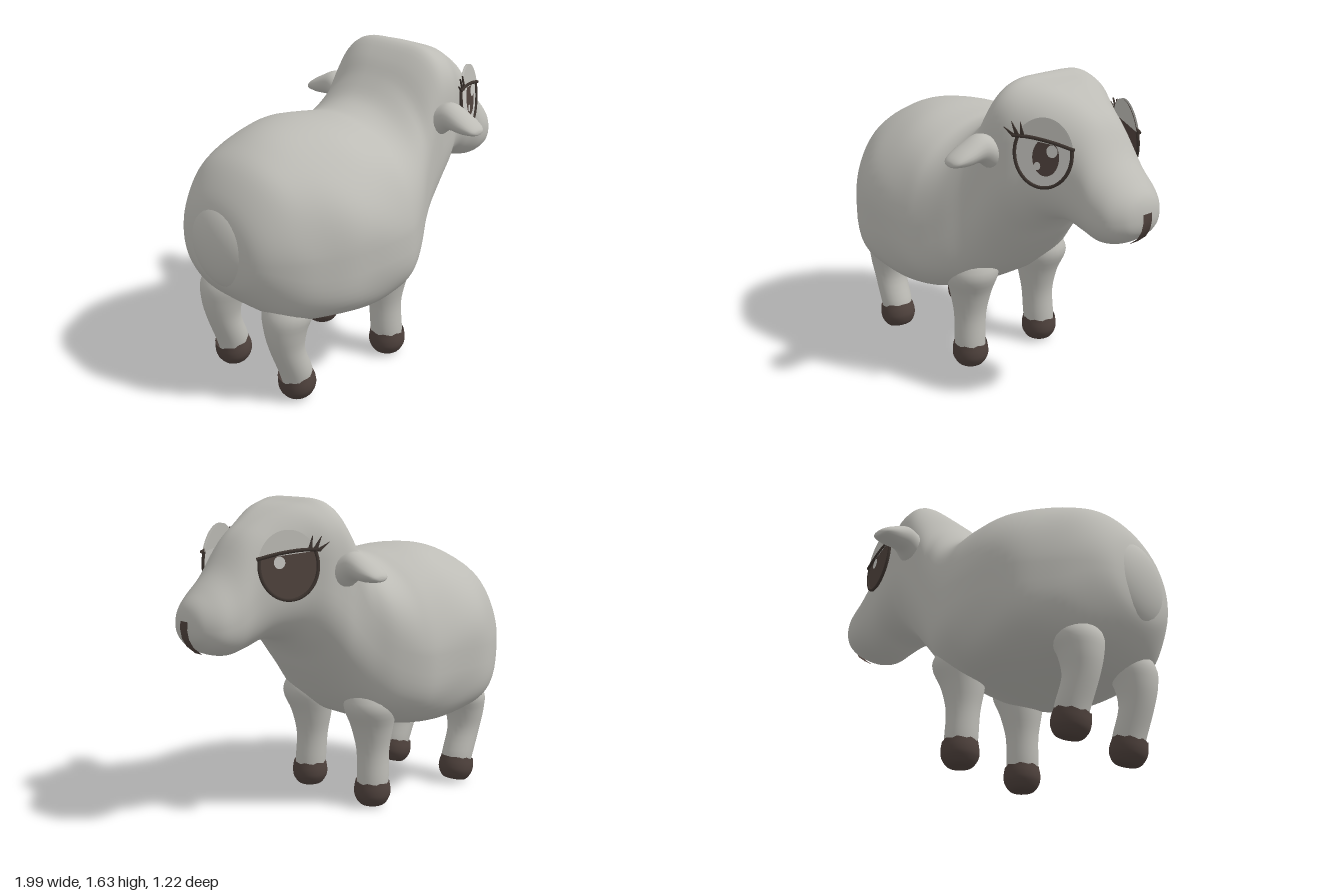
import * as THREE from 'three';

const mat = (name, color, side = THREE.DoubleSide) => {
  const m = new THREE.MeshStandardMaterial({ color, side });
  m.name = name;
  return m;
};

// Smooth grid surface: f(u, angle) gives a point; u runs 0..1, the angle wraps around.
function tubeSurface(nu, nv, f) {
  const pos = [], idx = [];
  for (let i = 0; i <= nu; i++) {
    for (let j = 0; j < nv; j++) pos.push(...f(i / nu, (j / nv) * Math.PI * 2));
  }
  for (let i = 0; i < nu; i++) {
    for (let j = 0; j < nv; j++) {
      const k = (j + 1) % nv;
      const a = i * nv + j, b = a + nv, c = (i + 1) * nv + k, d = i * nv + k;
      idx.push(a, b, c, a, c, d);
    }
  }
  const g = new THREE.BufferGeometry();
  g.setAttribute('position', new THREE.Float32BufferAttribute(pos, 3));
  g.setIndex(idx);
  g.computeVertexNormals();
  return g;
}

const spline = (pts) => new THREE.CatmullRomCurve3(pts.map((p) => new THREE.Vector3(...p)), false, 'catmullrom', 0.5);
const spow = (v, e) => Math.sign(v) * Math.pow(Math.abs(v), e);
const { smoothstep } = THREE.MathUtils;

// Body, neck and head in one skin: x, top, bottom, half width
const STATIONS = [
  [-0.97, 0.84, 0.84, 0], [-0.955, 0.98, 0.69, 0.19], [-0.915, 1.1, 0.6, 0.3],
  [-0.82, 1.23, 0.5, 0.4], [-0.7, 1.3, 0.44, 0.48], [-0.55, 1.345, 0.42, 0.55],
  [-0.38, 1.365, 0.41, 0.57], [-0.2, 1.345, 0.415, 0.56], [-0.1, 1.332, 0.43, 0.535],
  [0.02, 1.37, 0.48, 0.475], [0.12, 1.465, 0.56, 0.415], [0.2, 1.56, 0.64, 0.385],
  [0.29, 1.632, 0.74, 0.375], [0.38, 1.615, 0.85, 0.355], [0.48, 1.585, 0.925, 0.3],
  [0.6, 1.525, 0.94, 0.25], [0.7, 1.45, 0.905, 0.215], [0.8, 1.31, 0.885, 0.208],
  [0.89, 1.22, 0.905, 0.185], [0.95, 1.16, 0.95, 0.13], [0.975, 1.11, 0.99, 0.075],
  [0.985, 1.05, 1.05, 0],
];

function bodyGeometry() {
  const heights = spline(STATIONS.map(([x, t, b]) => [x, t, b]));
  const widths = spline(STATIONS.map(([x, , , w]) => [x, w, 0]));
  return tubeSurface(90, 72, (u, a) => {
    const { x, y: top, z: bottom } = heights.getPoint(u);
    const w = Math.max(0, widths.getPoint(u).y);
    const mid = bottom + (top - bottom) * 0.45;
    const boxy = smoothstep(x, -0.1, 0.3) * (1 - smoothstep(x, 0.5, 0.85));
    const crest = smoothstep(x, 0.12, 0.28) * (1 - smoothstep(x, 0.36, 0.6));
    const belly = smoothstep(x, -0.95, -0.75) * (1 - smoothstep(x, 0, 0.35));
    const s = Math.sin(a), c = Math.cos(a);
    const e = 2 / (s > 0 ? 2 + boxy + 2 * crest : 2.4 + belly);
    const taper = s > 0 ? 1 - 0.2 * boxy * s * s : 1;
    // soft woolly lumps on the trunk only
    const trunk = smoothstep(x, -0.95, -0.75) * (1 - smoothstep(x, -0.1, 0.2));
    const wool = 1 + 0.013 * trunk * Math.sin(11 * x + 2 * s) * Math.sin(5 * a);
    return [x, mid + spow(s, e) * (s > 0 ? top - mid : mid - bottom) * wool, spow(c, e) * w * wool * taper];
  });
}

// Leg parts from rings: x, y, z, radius
function limb(rings, side, ragged = 0) {
  const centre = spline(rings.map(([x, y, z]) => [x, y, z * side]));
  const radius = spline(rings.map(([, , , r]) => [r, 0, 0]));
  return tubeSurface(20, 24, (u, a) => {
    const p = centre.getPoint(u), r = Math.max(0, radius.getPoint(u).x);
    const jag = u === 1 ? ragged * Math.sin(a * 8) : 0;
    return [p.x + r * Math.cos(a), p.y + jag, p.z + r * Math.sin(a)];
  });
}

function earGeometry() {
  // z, centre height, half height, half depth
  const rows = [[0.31, 1.26, 0.09, 0.085], [0.37, 1.29, 0.085, 0.08], [0.43, 1.316, 0.07, 0.074],
    [0.52, 1.295, 0.05, 0.074], [0.58, 1.28, 0.03, 0.06], [0.605, 1.272, 0.015, 0.035], [0.61, 1.27, 0, 0]];
  const centre = spline(rows.map(([z, y]) => [0, y, z]));
  const size = spline(rows.map(([, , h, d]) => [d, h, 0]));
  return tubeSurface(24, 20, (u, a) => {
    const p = centre.getPoint(u), s = size.getPoint(u);
    return [Math.max(0, s.x) * Math.cos(a), p.y - Math.max(0, s.y) * Math.sin(a), p.z];
  });
}

export function createModel() {
  const model = new THREE.Group();
  model.name = 'sheep';
  const wool = mat('wool grey', 0xbdbcb6);
  const hoofMat = mat('hoof brown', 0x4f423d);
  const eyeWhite = mat('eye white', 0xc6c5c0);
  const dark = mat('lash dark', 0x3d342f);

  const add = (parent, name, geometry, material, x = 0, y = 0, z = 0) => {
    const m = new THREE.Mesh(geometry, material);
    m.name = name;
    m.position.set(x, y, z);
    parent.add(m);
    return m;
  };

  add(model, 'body', bodyGeometry(), wool);
  add(model, 'tail', new THREE.SphereGeometry(1, 32, 24), wool, -0.87, 0.835, 0).scale.set(0.13, 0.235, 0.24);

  // Legs and hooves; the upper rings shrink away inside the trunk
  const frontLeg = [[-0.01, 0.09, 0.255, 0.08], [-0.015, 0.16, 0.253, 0.085], [-0.02, 0.3, 0.247, 0.087],
    [-0.015, 0.43, 0.245, 0.112], [0.005, 0.55, 0.25, 0.14], [0.01, 0.66, 0.24, 0.1]];
  const backLeg = [[-0.67, 0.09, 0.25, 0.075], [-0.68, 0.16, 0.25, 0.087], [-0.73, 0.3, 0.247, 0.09],
    [-0.735, 0.41, 0.245, 0.11], [-0.71, 0.51, 0.24, 0.13], [-0.68, 0.62, 0.22, 0.09]];
  const hoof = [[0, 0.006, 0, 0], [0, 0.01, 0, 0.06], [0, 0.05, 0, 0.091], [0, 0.09, 0, 0.097], [0, 0.137, 0, 0.09]];
  for (const side of [1, -1]) {
    const tag = side > 0 ? 'Near' : 'Far';
    add(model, 'frontLeg' + tag, limb(frontLeg, side), wool);
    add(model, 'backLeg' + tag, limb(backLeg, side), wool);
    add(model, 'frontHoof' + tag, limb(hoof, 1, 0.005), hoofMat, -0.01, 0, 0.255 * side);
    add(model, 'backHoof' + tag, limb(hoof, 1, 0.005), hoofMat, -0.65, 0.008, 0.25 * side).rotation.z = 0.24;
  }

  // Ears
  for (const turn of [0, Math.PI]) {
    add(model, turn ? 'earFar' : 'earNear', earGeometry(), wool, 0.27, 0, 0).rotation.y = turn;
  }

  // Eyes: flat plates standing on the cheeks, mirrored across the head
  const ellipse = (rx, ry, from = 0, to = Math.PI * 2) =>
    new THREE.ShapeGeometry(new THREE.Shape().absellipse(0, 0, rx, ry, from, to, false, 0), 32);
  const line = (pts, r) => new THREE.TubeGeometry(spline(pts), 36, r, 6);
  for (const side of [1, -1]) {
    const mirror = new THREE.Group();
    mirror.name = side > 0 ? 'eyeNear' : 'eyeFar';
    mirror.scale.z = side;
    const eye = new THREE.Group();
    eye.position.set(0.575, 1.33, 0.286);
    eye.rotation.set(-0.1, 0.42, 0, 'YXZ');
    mirror.add(eye);
    model.add(mirror);

    add(eye, 'sclera', ellipse(0.148, 0.168), side > 0 ? eyeWhite : hoofMat);
    add(eye, 'iris', ellipse(0.068, 0.09), hoofMat, 0.015, -0.018, 0.004);
    add(eye, 'highlight', ellipse(0.028, 0.03), eyeWhite, 0.047, 0.015, 0.008);
    if (side > 0) add(eye, 'smallHighlight', ellipse(0.017, 0.02), eyeWhite, -0.025, -0.062, 0.008);
    const lid = [0.22, Math.PI - 0.4];
    add(eye, 'upperLid', ellipse(0.15, 0.17, ...lid), wool, 0, 0, 0.009);
    add(eye, 'upperLidBack', ellipse(0.15, 0.17, ...lid), wool, 0, 0, -0.004);

    const rim = [];
    for (let i = 0; i <= 16; i++) {
      const a = Math.PI - 0.4 + (i / 16) * (Math.PI + 0.62);
      rim.push([0.146 * Math.cos(a), 0.165 * Math.sin(a), 0.002]);
    }
    add(eye, 'eyeRim', line(rim, 0.009), dark);
    add(eye, 'lidLine', line([[-0.16, 0.072, 0.008], [-0.06, 0.072, 0.01], [0.05, 0.058, 0.01], [0.158, 0.034, 0.008]], 0.009), dark);

    // Lashes sweep back from the rear corner
    for (const [bx, by, tx, ty] of [[-0.145, 0.07, -0.205, 0.108], [-0.13, 0.07, -0.165, 0.137], [-0.105, 0.068, -0.12, 0.14]]) {
      const tri = new THREE.Shape([[bx - 0.01, by - 0.006], [bx + 0.014, by], [tx, ty]].map((p) => new THREE.Vector2(...p)));
      const lash = new THREE.ExtrudeGeometry(tri, { depth: 0.008, bevelEnabled: false });
      add(eye, 'lash', lash, dark, 0, 0, 0.006);
    }
  }

  // Mouth: a narrow strip wrapped over the muzzle
  const path = [[0.988, 1.07], [0.991, 1.03], [0.982, 0.985], [0.957, 0.942], [0.907, 0.902]];
  const mouth = new THREE.PlaneGeometry(1, 1, 1, path.length - 1);
  path.forEach(([x, y], i) => {
    mouth.attributes.position.setXYZ(i * 2, x, y, 0.03);
    mouth.attributes.position.setXYZ(i * 2 + 1, x, y, -0.03);
  });
  mouth.computeVertexNormals();
  add(model, 'mouth', mouth, hoofMat);

  return model;
}
